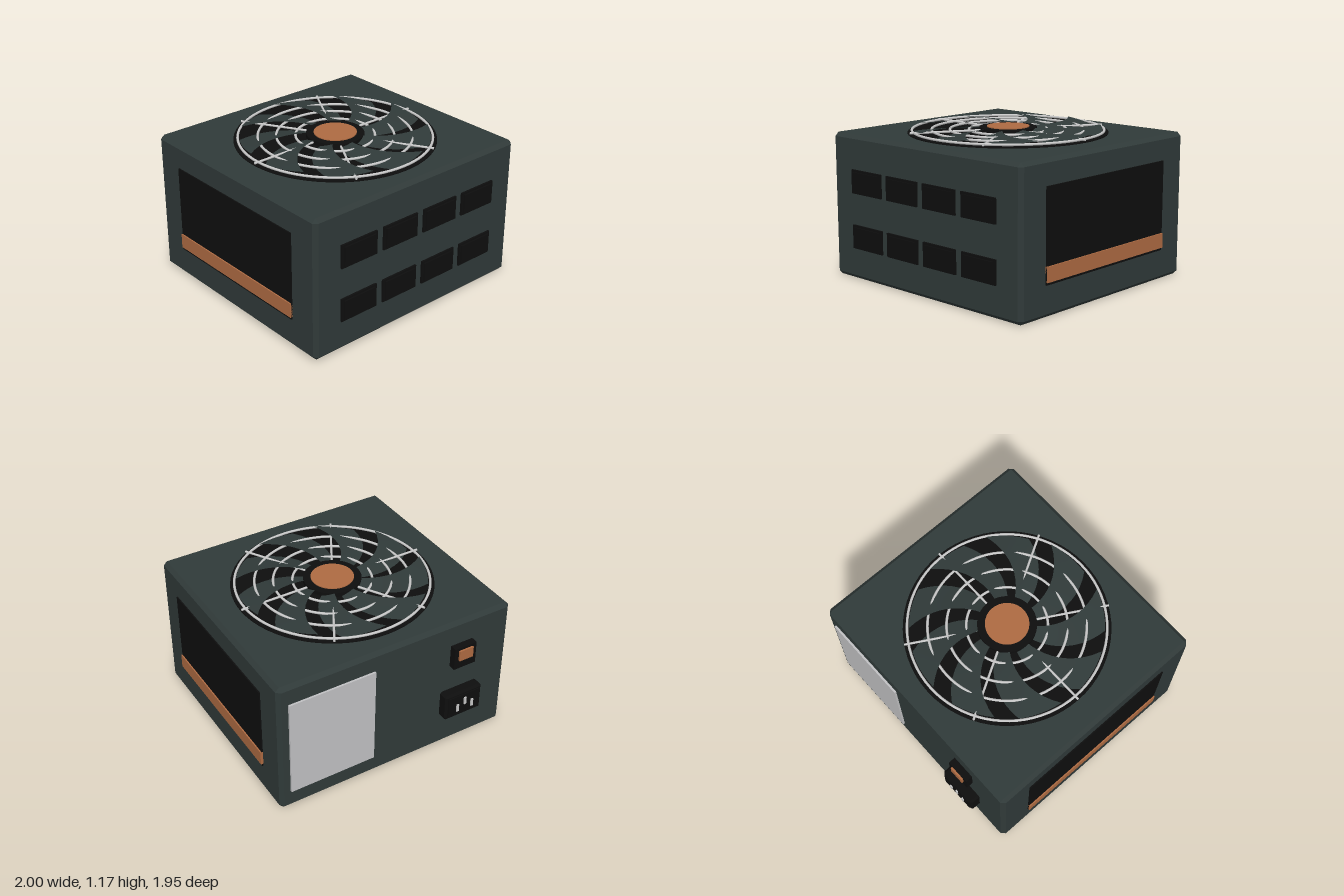
import * as THREE from 'three';
import { ConvexGeometry } from 'three/addons/geometries/ConvexGeometry.js';

const mat = (name, color, side = THREE.FrontSide) => {
  const m = new THREE.MeshStandardMaterial({ color, side });
  m.name = name;
  return m;
};

export function createModel() {
  const casing = mat('casing', 0x303a39);
  const bladePaint = mat('bladePaint', 0x303a39, THREE.DoubleSide);
  const black = mat('black', 0x0e0e0e);
  const copper = mat('copper', 0xae6b42);
  const steel = mat('steel', 0xc8c8c8);
  const labelGrey = mat('labelGrey', 0xc0c0c2);

  const model = new THREE.Group();
  const add = (name, geometry, material, parent = model) => {
    const mesh = new THREE.Mesh(geometry, material);
    mesh.name = name;
    parent.add(mesh);
    return mesh;
  };
  // Box given by its minimum and maximum along each axis
  const block = (name, [x0, x1], [y0, y1], [z0, z1], material, parent) =>
    add(name, new THREE.BoxGeometry(x1 - x0, y1 - y0, z1 - z0), material, parent)
      .position.set((x0 + x1) / 2, (y0 + y1) / 2, (z0 + z1) / 2);
  // Box with all edges chamfered by c
  const chamferBox = (w, h, d, c) => {
    const pts = [];
    for (const sx of [-1, 1]) for (const sy of [-1, 1]) for (const sz of [-1, 1])
      for (let k = 0; k < 3; k++) pts.push(new THREE.Vector3(
        sx * (w / 2 - (k === 0 ? 0 : c)),
        sy * (h / 2 - (k === 1 ? 0 : c)),
        sz * (d / 2 - (k === 2 ? 0 : c))));
    return new ConvexGeometry(pts);
  };

  // Casing
  add('casing', chamferBox(1.96, 1.125, 1.83, 0.03), casing).position.set(0, 0.5625, 0.035);

  // Side panels with a copper stripe
  for (const s of [-1, 1]) {
    const side = new THREE.Group();
    side.name = s > 0 ? 'leftPanel' : 'rightPanel';
    const span = (a, b) => (s > 0 ? [a, b] : [-b, -a]);
    block('panel', span(0.97, 0.99), [0.24, 0.935], [-0.625, 0.7], black, side);
    block('stripe', span(0.97, 1.0), [0.26, 0.375], [-0.625, 0.7], copper, side);
    model.add(side);
  }

  // Front cable sockets
  for (const y of [0.34, 0.77]) for (let i = 0; i < 4; i++) {
    const x = -0.588 + i * 0.392;
    block('cableSocket', [x - 0.165, x + 0.165], [y - 0.092, y + 0.092], [0.93, 0.965], black);
    block('cableSocketFace', [x - 0.145, x + 0.145], [y - 0.075, y + 0.075], [0.93, 0.975], black);
  }

  // Back: rating label, switch and power inlet
  block('ratingLabel', [0.2, 0.9], [0.16, 0.97], [-0.896, -0.87], labelGrey);
  block('switchHousing', [-0.645, -0.455], [0.745, 0.93], [-0.935, -0.87], black);
  block('switchRocker', [-0.61, -0.49], [0.82, 0.908], [-0.95, -0.92], copper);
  add('powerInlet', chamferBox(0.325, 0.225, 0.095, 0.015), black).position.set(-0.55, 0.408, -0.9125);
  block('powerInletFace', [-0.69, -0.41], [0.32, 0.495], [-0.966, -0.9], black);
  [[-0.62, 0.39], [-0.555, 0.435], [-0.49, 0.39]].forEach(([x, y]) =>
    block('powerPin', [x - 0.01, x + 0.01], [y - 0.032, y + 0.032], [-0.976, -0.95], steel));

  // Fan on top
  const fan = new THREE.Group();
  fan.name = 'fan';
  fan.position.set(0, 0, 0.033);
  model.add(fan);
  const disc = (name, r, y0, y1, material) =>
    add(name, new THREE.CylinderGeometry(r, r, y1 - y0, 64), material, fan).position.y = (y0 + y1) / 2;
  disc('fanWell', 0.767, 1.11, 1.132, black);
  disc('fanHub', 0.22, 1.12, 1.166, black);
  disc('hubCap', 0.163, 1.15, 1.173, copper);

  // Swept blades, each tilted up from one edge to the other
  const NR = 10, NA = 6, rad = Math.PI / 180;
  const bladeGeometry = () => {
    const pos = [], idx = [];
    for (let i = 0; i <= NR; i++) for (let j = 0; j <= NA; j++) {
      const t = i / NR, u = j / NA, r = 0.2 + 0.52 * t;
      const a = (77 + 28 * Math.pow(t, 1.4) + 26 * u) * rad;
      pos.push(r * Math.cos(a), 1.135 + 0.031 * u, -r * Math.sin(a));
      if (i < NR && j < NA) {
        const p = i * (NA + 1) + j, q = p + NA + 1;
        idx.push(p, q, p + 1, q, q + 1, p + 1);
      }
    }
    const g = new THREE.BufferGeometry();
    g.setAttribute('position', new THREE.Float32BufferAttribute(pos, 3));
    g.setIndex(idx);
    g.computeVertexNormals();
    return g;
  };
  const blade = bladeGeometry();
  for (let i = 0; i < 9; i++) add('fanBlade', blade, bladePaint, fan).rotation.y = i * 40 * rad;

  // Wire grille: rings and six spokes
  for (const r of [0.3, 0.445, 0.585, 0.735]) {
    const ring = add('grilleRing', new THREE.TorusGeometry(r, 0.01, 8, 80), steel, fan);
    ring.rotation.x = Math.PI / 2;
    ring.position.y = 1.146;
  }
  for (let i = 0; i < 6; i++) {
    const spoke = new THREE.Group();
    spoke.name = 'grilleSpoke';
    spoke.rotation.y = i * 60 * rad;
    const wire = add('wire', new THREE.CylinderGeometry(0.009, 0.009, 0.57, 8), steel, spoke);
    wire.rotation.z = Math.PI / 2;
    wire.position.set(0.482, 1.146, 0);
    fan.add(spoke);
  }
  return model;
}
